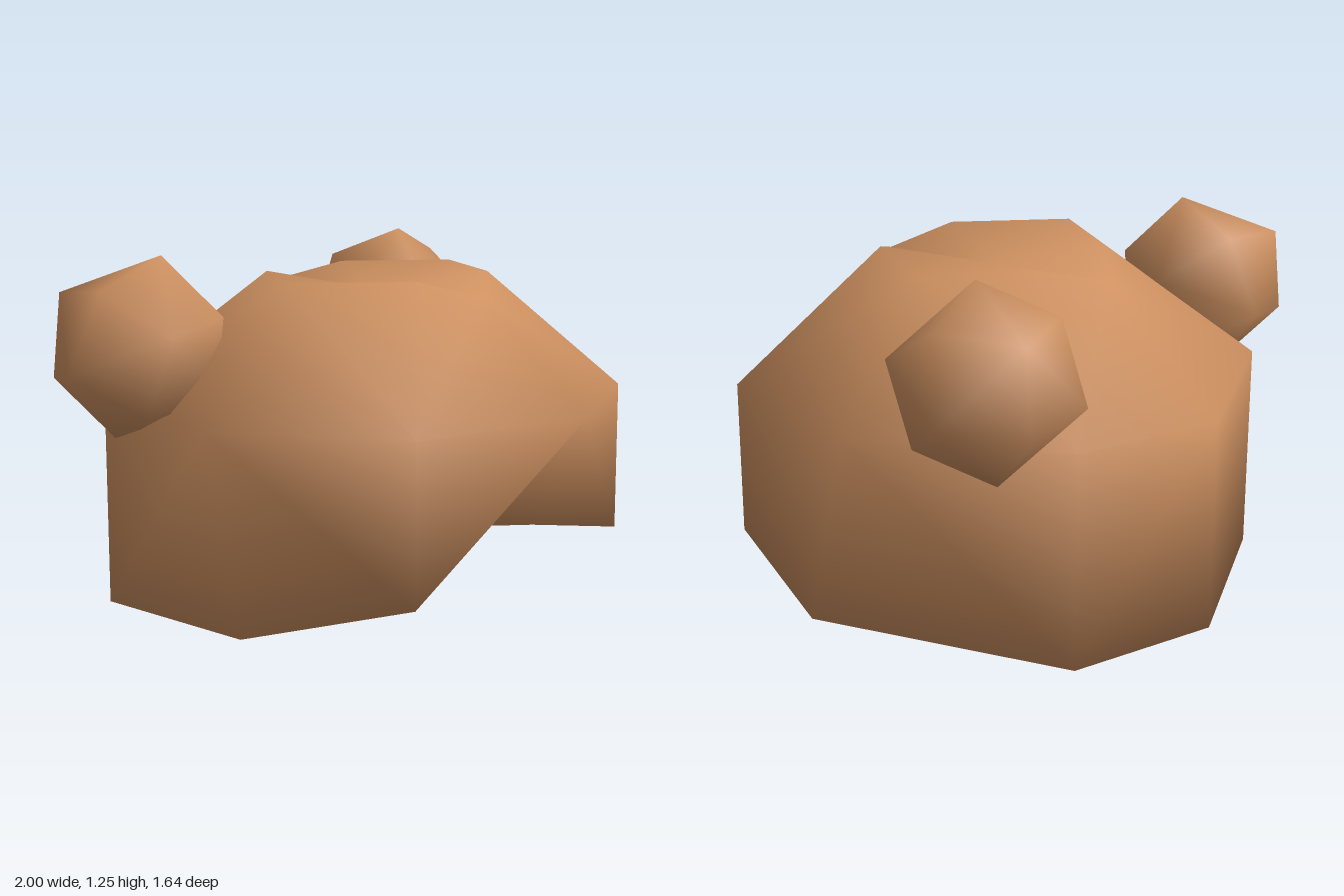
import * as THREE from 'three';
import { mergeVertices } from 'three/addons/utils/BufferGeometryUtils.js';
import { ConvexGeometry } from 'three/addons/geometries/ConvexGeometry.js';

const tan = new THREE.MeshStandardMaterial({ color: 0xcd9060, side: THREE.DoubleSide });
tan.name = 'warm tan';

// Half rings run from front centre round the +x side to back centre
function mirrorRing(half) {
  const other = half.slice(1, -1).reverse().map(([x, y, z]) => [-x, y, z]);
  return [...half, ...other];
}

// Smooth normals, each face weighted by its angle at the corner
function smoothNormals(geo) {
  const pos = geo.attributes.position;
  const sums = Array.from({ length: pos.count }, () => new THREE.Vector3());
  const ids = geo.index.array;
  for (let t = 0; t < ids.length; t += 3) {
    for (let k = 0; k < 3; k++) {
      const [a, b, c] = [0, 1, 2].map((m) => ids[t + ((k + m) % 3)]);
      const p = new THREE.Vector3().fromBufferAttribute(pos, a);
      const u = new THREE.Vector3().fromBufferAttribute(pos, b).sub(p);
      const v = new THREE.Vector3().fromBufferAttribute(pos, c).sub(p);
      const angle = u.angleTo(v);
      sums[a].addScaledVector(u.cross(v).normalize(), angle);
    }
  }
  const normals = sums.flatMap((n) => n.normalize().toArray());
  geo.setAttribute('normal', new THREE.Float32BufferAttribute(normals, 3));
}

// Join successive rings, weld them and shade them as one skin
function loft(rings) {
  const n = rings[0].length;
  const index = [];
  for (let r = 0; r < rings.length - 1; r++) {
    for (let i = 0; i < n; i++) {
      const a = r * n + i, b = r * n + ((i + 1) % n), c = b + n, d = a + n;
      // diagonals spread from the odd columns, so both halves match
      if (i % 2) index.push(a, b, c, a, c, d);
      else index.push(a, b, d, b, c, d);
    }
  }
  let geo = new THREE.BufferGeometry();
  geo.setAttribute('position', new THREE.Float32BufferAttribute(rings.flat(2), 3));
  geo.setIndex(index);
  geo = mergeVertices(geo, 1e-4);

  // Drop the triangles that collapse where rings meet
  const ids = Array.from(geo.index.array);
  const kept = [];
  for (let t = 0; t < ids.length; t += 3) {
    const [a, b, c] = ids.slice(t, t + 3);
    if (a !== b && b !== c && a !== c) kept.push(a, b, c);
  }
  geo.setIndex(kept);
  smoothNormals(geo);
  return geo;
}

// Ear: a tilted cube with every face raised to a point, shaded smooth
function earGeometry(side) {
  const outer = new THREE.Vector3(side * 0.72, 0.68, 0.14).normalize();
  const lower = new THREE.Vector3(side * 0.49, -0.656, 0.568).normalize();
  const front = new THREE.Vector3(side * -0.478, 0.34, 0.805).normalize();
  const points = [];
  for (const s of [1, -1]) {
    for (const axis of [outer, lower, front]) points.push(axis.clone().multiplyScalar(s * 0.292));
    for (const t of [1, -1]) {
      for (const u of [1, -1]) {
        const corner = outer.clone().multiplyScalar(s);
        corner.addScaledVector(lower, t).addScaledVector(front, u);
        points.push(corner.setLength(0.303));
      }
    }
  }
  let geo = new ConvexGeometry(points);
  geo.deleteAttribute('normal');
  geo = mergeVertices(geo, 1e-4);
  smoothNormals(geo);
  return geo;
}

export function createModel() {
  const model = new THREE.Group();
  model.name = 'earedCap';

  const point = (y) => Array.from({ length: 5 }, () => [0, y, 0]);
  const peak = [0, 0.76, 0.82];
  const sideRim = [0.87, 0.14, 0.13];
  const backRim = [[0.6, 0.06, -0.66], [0, 0, -0.82]];
  const halves = [
    // centre of the hollow underside
    point(0.31),
    // underside edge, cutting straight from the sides to the peak
    [peak, sideRim, sideRim, ...backRim],
    // rim, raised to a peak at the front
    [peak, [0.63, 0.25, 0.6], sideRim, ...backRim],
    // widest ring
    [peak, [0.63, 0.76, 0.6], [0.87, 0.76, 0], [0.6, 0.76, -0.66], [0, 0.71, -0.82]],
    // crown edge, dipping at the centre line
    [[0, 1.11, 0.43], [0.21, 1.17, 0.32], [0.47, 1.17, 0], [0.21, 1.17, -0.28], [0, 1.11, -0.43]],
    // crown centre
    point(1.11),
  ];
  const cap = new THREE.Mesh(loft(halves.map(mirrorRing)), tan);
  cap.name = 'cap';
  model.add(cap);

  // Pointed round ears
  for (const side of [1, -1]) {
    const ear = new THREE.Mesh(earGeometry(side), tan);
    ear.name = side > 0 ? 'leftEar' : 'rightEar';
    ear.position.set(side * 0.703, 0.96, -0.41);
    model.add(ear);
  }
  return model;
}
